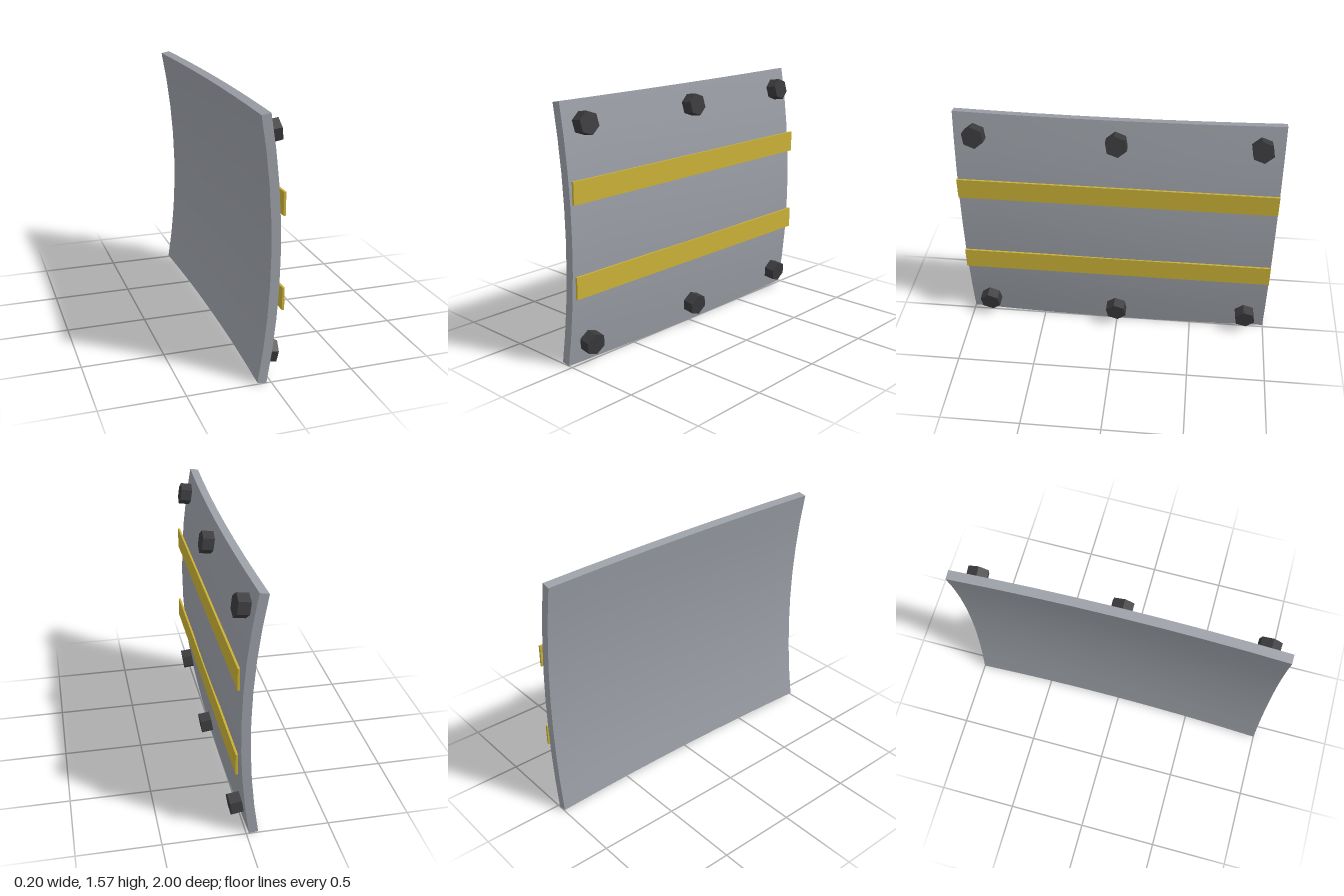
import * as THREE from 'three';

const HEIGHT = 1.57, HALF = HEIGHT / 2, THICK = 0.055;

// Outer surface of the plate: x as a function of height and z
function surfaceX(y, z) {
  const v = (y - HALF) / HALF;
  return 0.065 - 0.024 * z * z - 0.07 * v * v + 0.006 * v * (z - 1);
}

function surfaceNormal(y, z) {
  const e = 0.01;
  const dy = (surfaceX(y + e, z) - surfaceX(y - e, z)) / (2 * e);
  const dz = (surfaceX(y, z + e) - surfaceX(y, z - e)) / (2 * e);
  return new THREE.Vector3(1, -dy, -dz).normalize();
}

// Box bent over the doubly curved surface
function plateGeometry() {
  const geo = new THREE.BoxGeometry(THICK, HEIGHT, 2, 1, 8, 8);
  const p = geo.attributes.position;
  for (let i = 0; i < p.count; i++) {
    const depth = THICK / 2 - p.getX(i);
    const y = p.getY(i) + HALF, z = p.getZ(i);
    const n = surfaceNormal(y, z);
    p.setXYZ(i, surfaceX(y, z) - n.x * depth, y - n.y * depth, z);
  }
  geo.computeVertexNormals();
  return geo;
}

// Hexagonal head with its axis along x and a corner near the top
function boltGeometry() {
  const geo = new THREE.CylinderGeometry(0.07, 0.07, 0.075, 6).toNonIndexed();
  geo.rotateZ(-Math.PI / 2);
  geo.rotateX(Math.PI / 2 + 0.17);
  geo.computeVertexNormals();
  return geo;
}

export function createModel() {
  const steel = new THREE.MeshStandardMaterial({ color: 0x9a9ea5 });
  steel.name = 'steel grey';
  const yellow = new THREE.MeshStandardMaterial({ color: 0xc9b036 });
  yellow.name = 'warning yellow';
  const dark = new THREE.MeshStandardMaterial({ color: 0x3a3a3d });
  dark.name = 'dark iron';

  const model = new THREE.Group();
  model.name = 'armourPlate';
  const add = (name, geo, mat) => {
    const mesh = new THREE.Mesh(geo, mat);
    mesh.name = name;
    model.add(mesh);
    return mesh;
  };

  add('plate', plateGeometry(), steel);

  // Straight bars across the face
  const bars = [['upperStripe', 0.059, 1.065], ['lowerStripe', 0.063, 0.508]];
  for (const [name, x, y] of bars) {
    add(name, new THREE.BoxGeometry(0.013, 0.135, 1.995), yellow).position.set(x, y, 0);
  }

  // Two rows of bolts standing on the surface
  const bolt = boltGeometry();
  const xAxis = new THREE.Vector3(1, 0, 0);
  for (const [row, y] of [['upper', 1.435], ['lower', 0.135]]) {
    [0.865, 0, -0.865].forEach((z, i) => {
      const n = surfaceNormal(y, z);
      const mesh = add(`${row}Bolt${i + 1}`, bolt, dark);
      mesh.position.set(surfaceX(y, z), y, z).addScaledVector(n, 0.033);
      mesh.quaternion.setFromUnitVectors(xAxis, n);
    });
  }
  return model;
}
